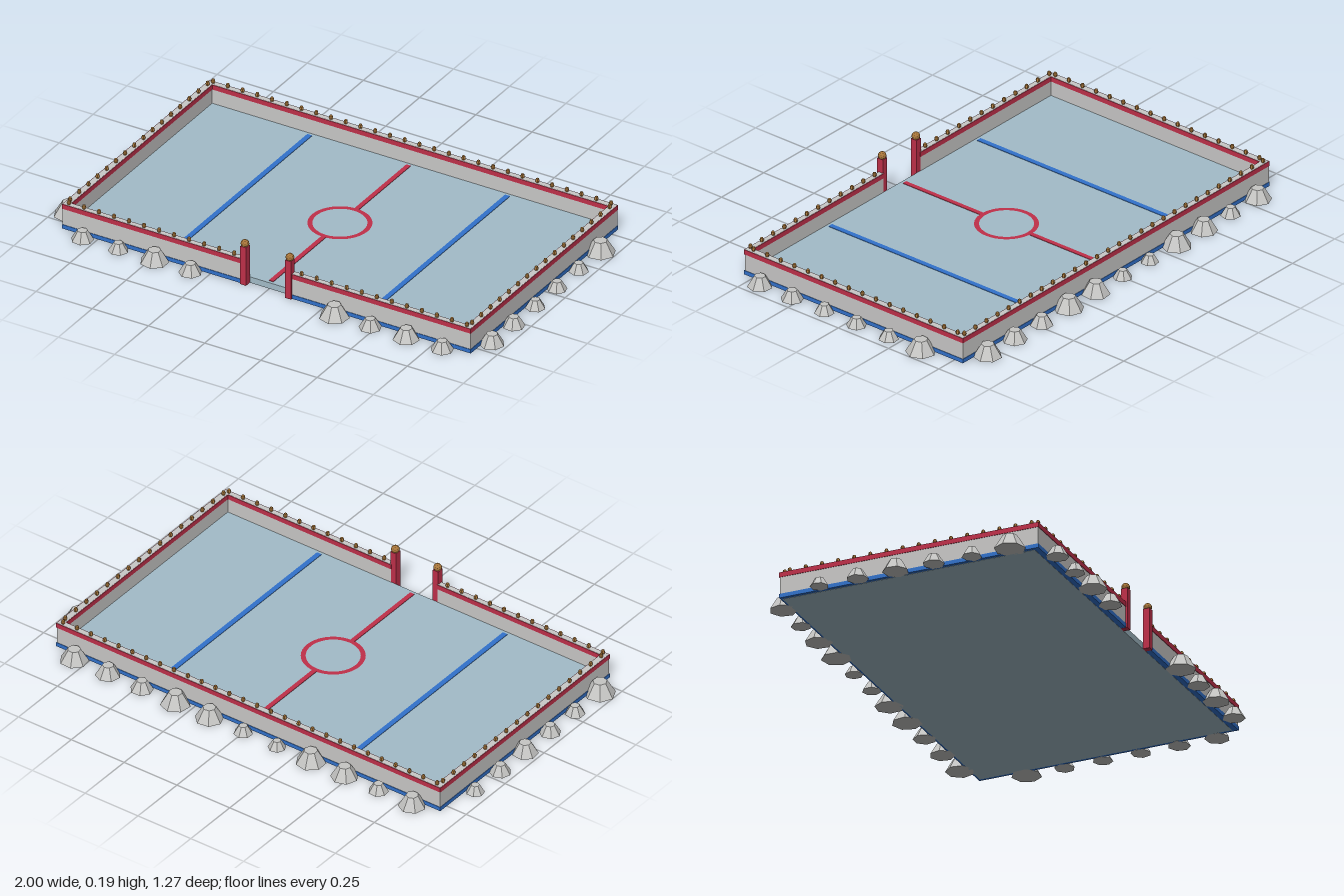
import * as THREE from 'three';

const mat = (name, color, flatShading = false) => {
  const m = new THREE.MeshStandardMaterial({ color });
  m.name = name;
  m.flatShading = flatShading;
  return m;
};

export function createModel() {
  const root = new THREE.Group();
  root.name = 'iceRink';
  const ice = mat('ice', 0xa3bcc8);
  const wall = mat('wallGrey', 0xc9c8c7);
  const rock = mat('rockGrey', 0xc6c6c4, true);
  const red = mat('red', 0xc0304a);
  const blue = mat('blue', 0x3272cc);
  const gold = mat('gold', 0xa8763a, true);

  const add = (name, geo, material, x, y, z, parent = root) => {
    const mesh = new THREE.Mesh(geo, material);
    mesh.name = name;
    mesh.position.set(x, y, z);
    parent.add(mesh);
    return mesh;
  };
  // Box given by its limits on each axis
  const box = (name, material, x0, x1, y0, y1, z0, z1, parent) =>
    add(name, new THREE.BoxGeometry(x1 - x0, y1 - y0, z1 - z0), material,
      (x0 + x1) / 2, (y0 + y1) / 2, (z0 + z1) / 2, parent);

  // Ice slab
  const top = 0.026;
  box('iceFloor', ice, -0.895, 0.895, 0, top, -0.535, 0.523);

  // Painted lines and centre circle
  for (const x of [-0.44, 0.44]) {
    box('blueLine', blue, x - 0.011, x + 0.011, top, top + 0.002, -0.505, 0.51);
  }
  box('centreLineBack', red, -0.01, 0.01, top, top + 0.002, -0.505, -0.112);
  box('centreLineFront', red, -0.01, 0.01, top, top + 0.002, 0.117, 0.51);
  const ring = new THREE.RingGeometry(0.105, 0.124, 40);
  ring.rotateX(-Math.PI / 2);
  add('centreCircle', ring, red, 0, top + 0.0025, 0.0025);

  // Boards: grey core with slightly proud blue kick strip and red rail
  const boards = (name, x0, x1, z0, z1) => {
    const g = new THREE.Group();
    g.name = name;
    root.add(g);
    const e = 0.002;
    box('panel', wall, x0, x1, 0.004, 0.109, z0, z1, g);
    box('kickStrip', blue, x0 - e, x1 + e, 0.001, 0.018, z0 - e, z1 + e, g);
    box('rail', red, x0 - e, x1 + e, 0.088, 0.108, z0 - e, z1 + e, g);
  };
  boards('backBoards', -0.907, 0.907, -0.541, -0.518);
  boards('rightBoards', -0.907, -0.882, -0.518, 0.522);
  boards('leftBoards', 0.882, 0.907, -0.518, 0.522);
  boards('frontBoardsRight', -0.907, -0.11, 0.522, 0.543);
  boards('frontBoardsLeft', 0.11, 0.907, 0.522, 0.543);

  // Lamps along the tops of the boards
  const lampGeo = new THREE.SphereGeometry(0.0085, 6, 4);
  lampGeo.scale(1, 1.35, 1);
  const lamps = (n, x0, z0, x1, z1) => {
    for (let i = 0; i < n; i++) {
      const t = i / (n - 1);
      add('lamp', lampGeo, gold, x0 + (x1 - x0) * t, 0.117, z0 + (z1 - z0) * t);
    }
  };
  lamps(28, -0.885, -0.53, 0.885, -0.53);
  for (const s of [-1, 1]) {
    lamps(16, s * 0.894, -0.505, s * 0.894, 0.51);
    lamps(12, s * 0.885, 0.533, s * 0.15, 0.533);
  }

  // Gate posts with round finials
  for (const x of [-0.1, 0.1]) {
    box('gatePost', red, x - 0.013, x + 0.013, 0, 0.167, 0.523, 0.551);
    add('gateFinial', new THREE.IcosahedronGeometry(0.017, 1), gold, x, 0.177, 0.537);
  }

  // Faceted rocks banked against the boards
  let turn = 0;
  const addRock = (x, z, r) => {
    const h = r * 0.92;
    const geo = new THREE.CylinderGeometry(r * 0.45, r, h, 7);
    geo.rotateY(turn += 1.3);
    add('rock', geo, rock, x, h / 2, z);
  };
  [0.055, 0.04, 0.055, 0.06, 0.036, 0.038, 0.057, 0.06, 0.046, 0.05, 0.057]
    .forEach((r, i) => addRock(-0.8 + i * 0.16, -0.575, r));
  [0.045, 0.04, 0.057, 0.046, 0, 0, 0, 0, 0.06, 0.045, 0.053, 0.045]
    .forEach((r, i) => {
      // The gap in the row leaves the gateway clear
      if (r) addRock(i < 4 ? -0.8 + i * 0.16 : 0.32 + (i - 8) * 0.16, 0.575, r);
    });
  [0.037, 0.043, 0.052, 0.043, 0.04, 0.062]
    .forEach((r, i) => addRock(-0.94, -0.36 + i * 0.16, r));
  [0.06, 0.04, 0.04, 0.04, 0.045, 0.05]
    .forEach((r, i) => addRock(0.94, -0.36 + i * 0.16, r));

  return root;
}
